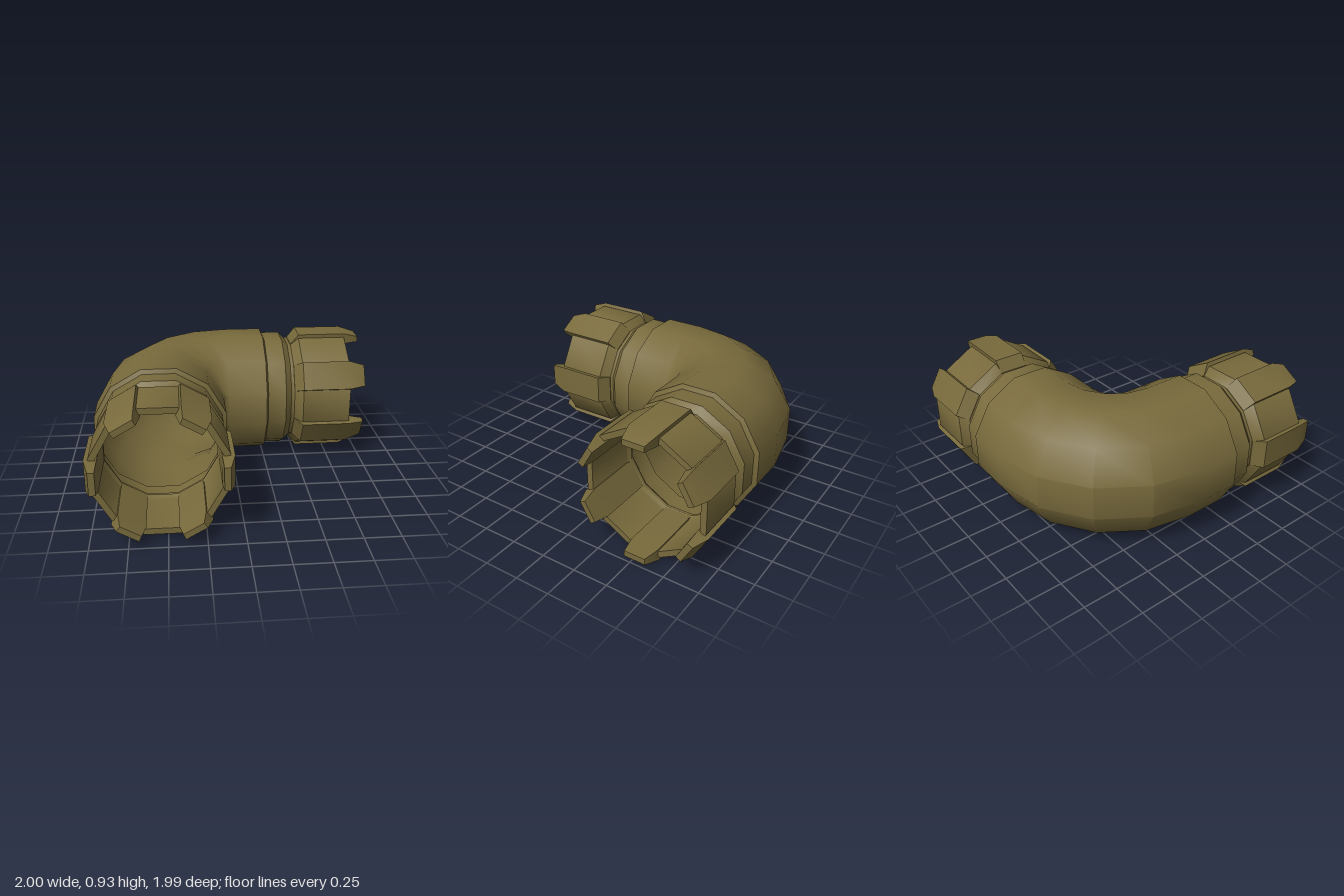
import * as THREE from 'three';
import { toCreasedNormals } from 'three/addons/utils/BufferGeometryUtils.js';

const SIDES = 12;
const AXIS = 0.535;   // distance of each arm's axis from the middle
const HEIGHT = 0.465; // height of the pipe axis
const BEND = -0.03;   // x and z of the bend's pivot
const BODY_END = 0.25;

// Joins equal-sized loops of points into a skin, optionally capped
function loft(sections, capped) {
  const n = sections[0].length;
  const index = [];
  for (let i = 0; i < sections.length - 1; i++) {
    for (let j = 0; j < n; j++) {
      const a = i * n + j, b = i * n + (j + 1) % n;
      index.push(a, b, b + n, a, b + n, a + n);
    }
  }
  if (capped) {
    const last = (sections.length - 1) * n;
    for (let j = 1; j < n - 1; j++) {
      index.push(0, j + 1, j, last, last + j, last + j + 1);
    }
  }
  const geometry = new THREE.BufferGeometry();
  geometry.setAttribute('position', new THREE.Float32BufferAttribute(sections.flat(2), 3));
  geometry.setIndex(index);
  return toCreasedNormals(geometry, 0.62);
}

// Twelve-sided loop around (cx, cy, cz); u is its horizontal direction
function ring(cx, cy, cz, ux, uz, apothem) {
  const r = apothem / Math.cos(Math.PI / SIDES);
  return Array.from({ length: SIDES }, (_, k) => {
    const a = (k + 0.5) * 2 * Math.PI / SIDES;
    const h = r * Math.cos(a);
    return [cx + ux * h, cy + r * Math.sin(a), cz + uz * h];
  });
}

export function createModel() {
  const group = new THREE.Group();
  const bronze = new THREE.MeshStandardMaterial({ color: 0x786a3c, side: THREE.DoubleSide });
  bronze.name = 'bronze';

  const add = (parent, geometry, name) => {
    const mesh = new THREE.Mesh(geometry, bronze);
    mesh.name = name;
    parent.add(mesh);
    return mesh;
  };

  // Quarter-turn body with a short straight run at each end
  const body = [ring(BODY_END, HEIGHT, -AXIS, 0, 1, 0.457)];
  const steps = 4, radius = AXIS + BEND;
  for (let i = 0; i <= steps; i++) {
    const t = i / steps * Math.PI / 2;
    const ux = Math.sin(t), uz = Math.cos(t);
    body.push(ring(BEND - radius * ux, HEIGHT, BEND - radius * uz, ux, uz, 0.457));
  }
  body.push(ring(-AXIS, HEIGHT, BODY_END, 1, 0, 0.457));
  add(group, loft(body), 'elbowBody');

  // Neck: step down from the body, then a groove
  const neckProfile = [[0.25, 0.457], [0.265, 0.427], [0.4, 0.427], [0.445, 0.385], [0.47, 0.385]];
  // Collar: flares out, runs to its lip and returns along the inside
  const collarProfile = [[0.47, 0.385], [0.53, 0.437], [0.885, 0.437], [0.885, 0.395], [0.5, 0.395], [0.47, 0.38]];
  const turned = profile => loft(profile.map(([z, r]) => ring(0, 0, z, 1, 0, r)));
  const neck = turned(neckProfile);
  const collar = turned(collarProfile);

  // Tooth: raised rib on the collar with a tapered tip; z, inner, outer, half width
  const tooth = loft([
    [0.47, 0.384, 0.39, 0.1],
    [0.53, 0.384, 0.465, 0.106],
    [0.885, 0.384, 0.465, 0.106],
    [1.0, 0.39, 0.432, 0.08],
  ].map(([z, inner, outer, w]) => [
    [inner, -w * 0.95, z], [outer, -w, z], [outer, w, z], [inner, w * 0.95, z],
  ]), true);

  function addArm(name, x, z, turn, toothOffset) {
    const arm = new THREE.Group();
    arm.name = name;
    arm.position.set(x, HEIGHT, z);
    arm.rotation.y = turn;
    add(arm, neck, 'neck');
    add(arm, collar, 'collar');
    for (let k = 0; k < 6; k++) {
      add(arm, tooth, 'tooth').rotation.z = toothOffset + k * Math.PI / 3;
    }
    group.add(arm);
  }
  addArm('frontArm', -AXIS, 0, 0, 0);
  addArm('leftArm', 0, -AXIS, Math.PI / 2, Math.PI / 6);

  return group;
}
